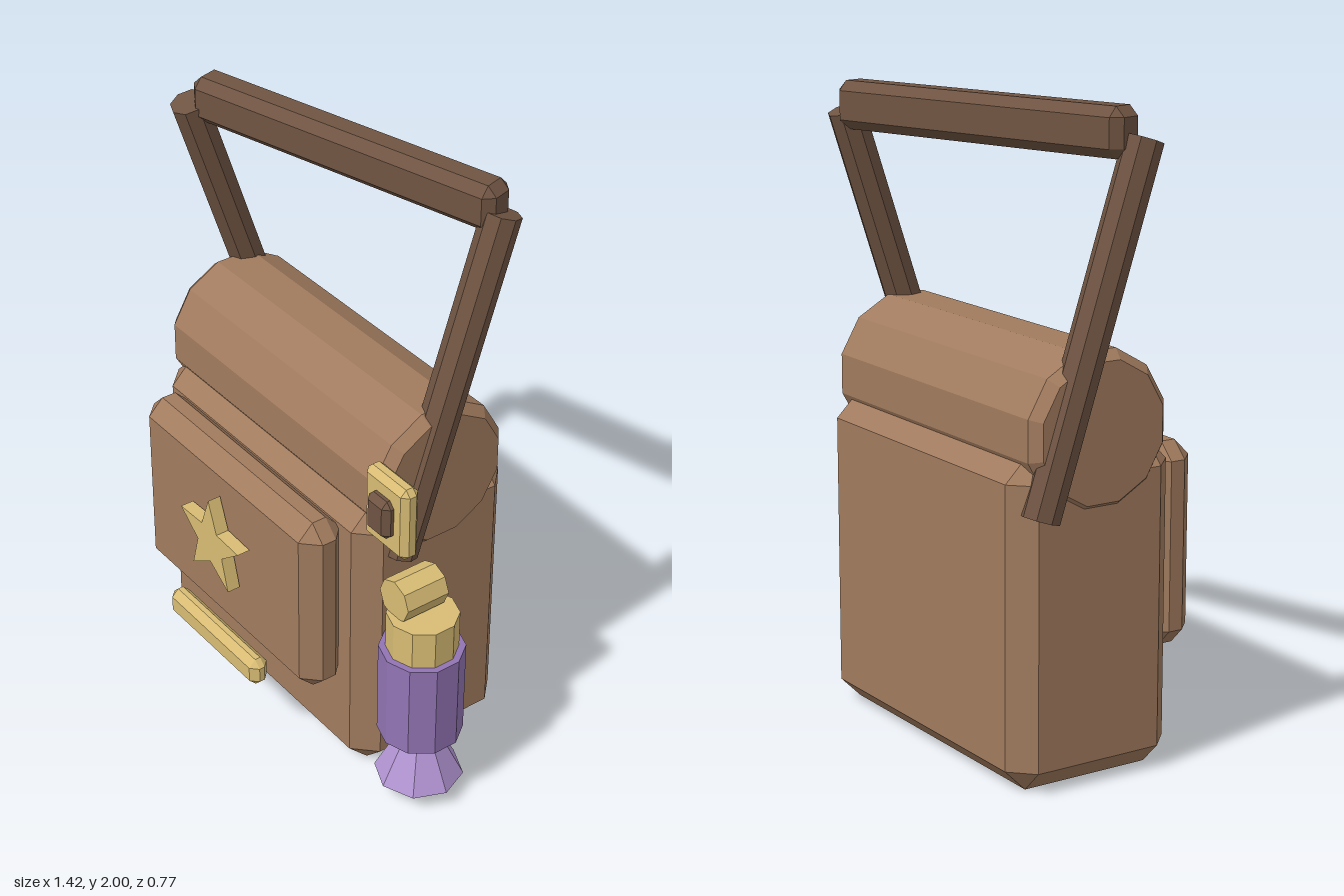
import * as THREE from 'three';
import { ConvexGeometry } from 'three/addons/geometries/ConvexGeometry.js';

const mat = (color) => new THREE.MeshStandardMaterial({ color, flatShading: true });

// box with cut edges and corners
function chamferBox(w, h, d, c) {
  const pts = [];
  for (const sx of [-1, 1]) for (const sy of [-1, 1]) for (const sz of [-1, 1]) {
    const x = w / 2, y = h / 2, z = d / 2;
    pts.push(new THREE.Vector3(sx * x, sy * (y - c), sz * (z - c)));
    pts.push(new THREE.Vector3(sx * (x - c), sy * y, sz * (z - c)));
    pts.push(new THREE.Vector3(sx * (x - c), sy * (y - c), sz * z));
  }
  return new ConvexGeometry(pts);
}

export function createModel() {
  const model = new THREE.Group();
  const leather = mat(0xa17b5e), strap = mat(0x6f5442), gold = mat(0xd8bc74);
  const purple = mat(0x9274b4), lilac = mat(0xb294d2);

  const add = (name, geometry, material, x, y, z) => {
    const mesh = new THREE.Mesh(geometry, material);
    mesh.name = name;
    mesh.position.set(x, y, z);
    model.add(mesh);
    return mesh;
  };

  // bag body and front pocket
  add('body', chamferBox(1.11, 1.01, 0.57, 0.07), leather, -0.11, 0.505, -0.1);
  add('frontPocket', chamferBox(0.925, 0.64, 0.155, 0.053), leather, -0.112, 0.65, 0.247);

  // rolled top, twelve-sided with bevelled ends
  const r = 0.247, half = 0.567;
  const profile = [[0, -half], [r - 0.03, -half], [r, -half + 0.035],
    [r, half - 0.035], [r - 0.03, half], [0, half]].map(([a, b]) => new THREE.Vector2(a, b));
  const rollGeo = new THREE.LatheGeometry(profile, 12, Math.PI / 12);
  add('rolledTop', rollGeo, leather, -0.11, 1.07, -0.1).rotation.z = Math.PI / 2;

  // star badge and trim bar
  const star = new THREE.Shape();
  for (let i = 0; i < 10; i++) {
    const a = Math.PI / 2 + i * Math.PI / 5, rad = i % 2 ? 0.07 : 0.166;
    star[i ? 'lineTo' : 'moveTo'](rad * Math.cos(a), rad * Math.sin(a));
  }
  star.closePath();
  add('starBadge', new THREE.ExtrudeGeometry(star, { depth: 0.045, bevelEnabled: false }),
    gold, -0.11, 0.685, 0.332);
  add('trimBar', chamferBox(0.49, 0.1, 0.067, 0.024), gold, -0.11, 0.3, 0.353);

  // side straps lean opposite ways; the handle bar joins their tops
  for (const s of [-1, 1]) {
    const name = s > 0 ? 'leftStrap' : 'rightStrap';
    add(name, new THREE.CylinderGeometry(0.06, 0.06, 1.125, 8), strap,
      s > 0 ? 0.43 : -0.655, 1.372, -0.13).rotation.x = -s * 0.318;
  }
  add('handle', chamferBox(1.13, 0.15, 0.122, 0.03), strap, -0.11, 1.925, -0.15).rotation.y = 0.268;

  // buckle
  add('bucklePlate', chamferBox(0.2, 0.255, 0.064, 0.02), gold, 0.51, 1.087, 0.137);
  add('buckleCentre', chamferBox(0.105, 0.135, 0.064, 0.02), strap, 0.508, 1.088, 0.168);

  // hanging bottle
  const bx = 0.568, bz = 0.055;
  add('bottleFlare', new THREE.CylinderGeometry(0.05, 0.142, 0.18, 8), lilac, bx, 0.15, bz);
  add('bottleBody', new THREE.CylinderGeometry(0.135, 0.135, 0.33, 10), purple, bx, 0.405, bz);
  add('bottleNeck', new THREE.CylinderGeometry(0.113, 0.113, 0.13, 10), gold, bx, 0.635, bz);
  add('bottleKnob', new THREE.CylinderGeometry(0.07, 0.07, 0.155, 8), gold,
    0.527, 0.757, 0.058).rotation.x = Math.PI / 2;

  return model;
}
